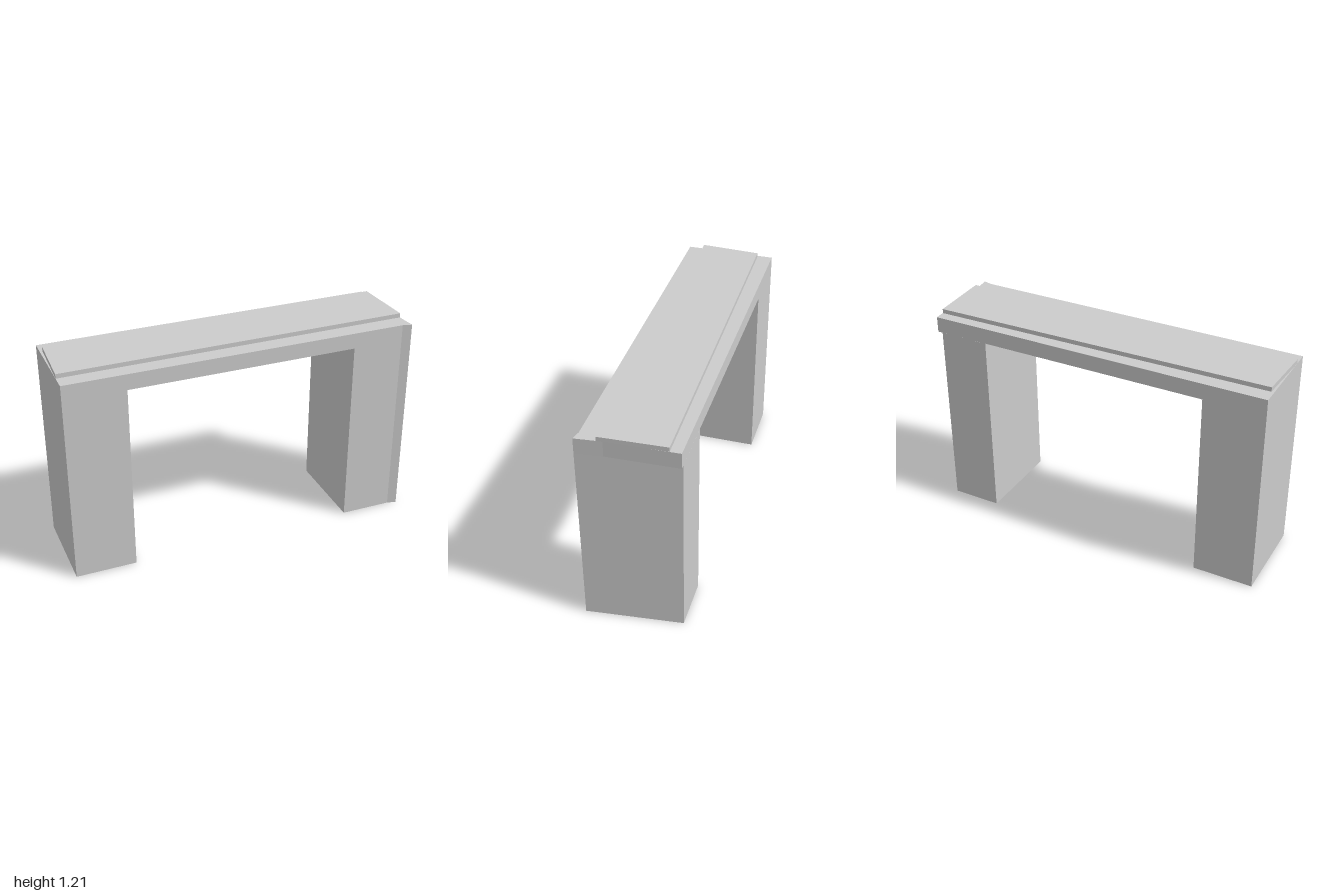
import * as THREE from 'three';

const material = new THREE.MeshStandardMaterial({ color: 0xcccccc, flatShading: true });

// Upright prism over a plan outline of [x, z] corners
function prism(name, plan, bottom, top) {
  const shape = new THREE.Shape(plan.map(([x, z]) => new THREE.Vector2(x, -z)));
  const geometry = new THREE.ExtrudeGeometry(shape, { depth: top - bottom, bevelEnabled: false });
  geometry.rotateX(-Math.PI / 2);
  geometry.translate(0, bottom, 0);
  const mesh = new THREE.Mesh(geometry, material);
  mesh.name = name;
  return mesh;
}

export function createModel() {
  const group = new THREE.Group();
  group.name = 'gateway';
  const legTop = 1.09, lintelTop = 1.18, slabTop = 1.205;

  // Square right leg
  group.add(prism('rightLeg', [[-1, 0.25], [-0.655, 0.25], [-0.655, -0.262], [-1, -0.262]], 0, legTop));

  // Left leg with a skewed outer side and a flared front corner
  group.add(prism('leftLeg',
    [[0.65, 0.25], [0.945, 0.252], [0.997, 0.265], [0.937, -0.265], [0.65, -0.265]], 0, legTop));

  // Lintel, overhanging the left leg towards the back
  group.add(prism('lintel',
    [[-1, 0.25], [0.945, 0.252], [0.997, 0.265], [0.981, 0.12], [0.966, -0.265], [-1, -0.262]], legTop, lintelTop));

  // Low raised slab along the top
  group.add(prism('topSlab',
    [[-1, 0.162], [0.985, 0.152], [0.967, -0.206], [-0.985, -0.176]], lintelTop, slabTop));

  return group;
}
